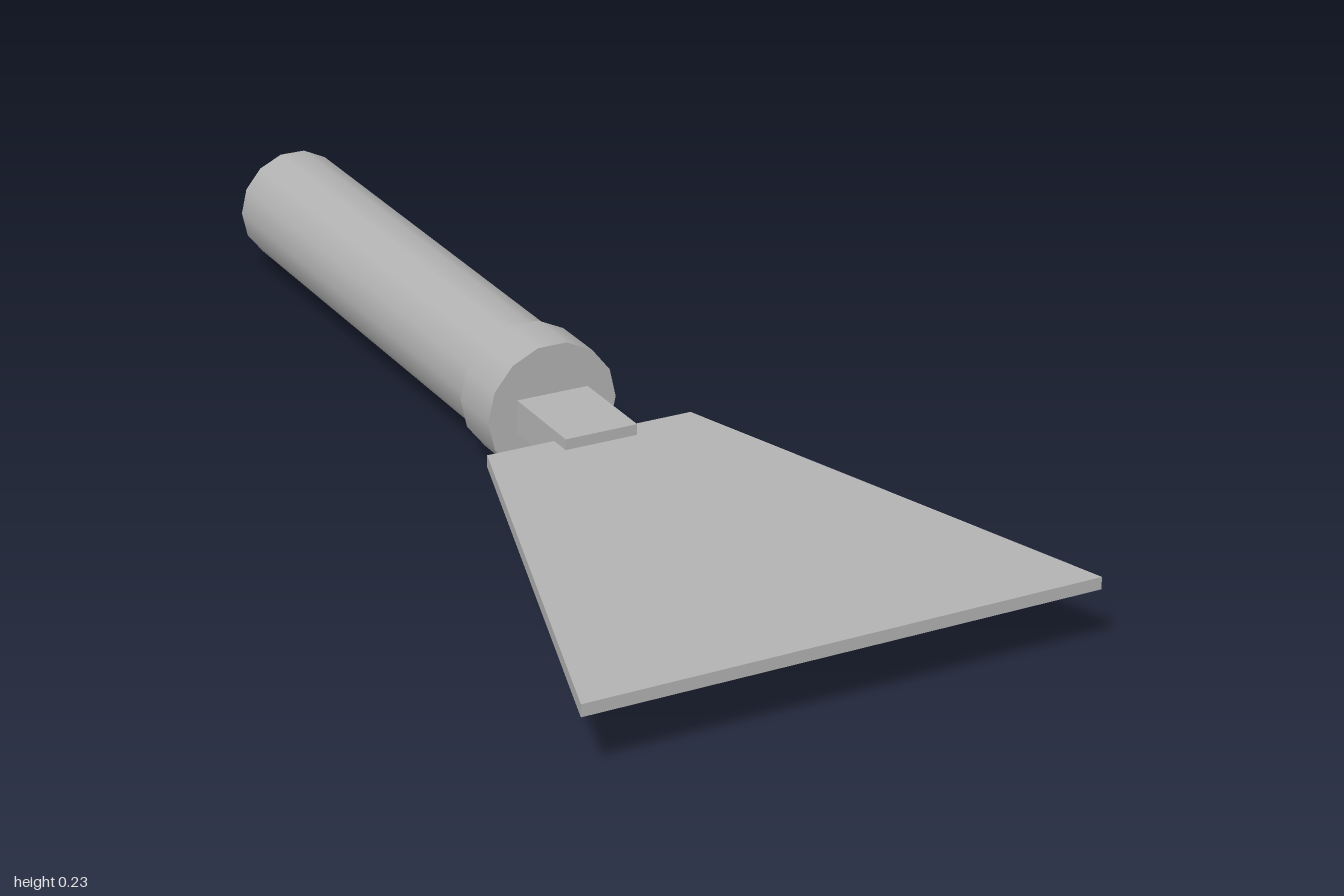
import * as THREE from 'three';

const AXIS_Y = 0.1155; // height of the tool's centre line
const SIDES = 14;

export function createModel() {
  const group = new THREE.Group();
  const grey = new THREE.MeshStandardMaterial({ color: 0xb2b2b2 });
  grey.name = 'grey';

  const add = (name, geometry, z) => {
    const mesh = new THREE.Mesh(geometry, grey);
    mesh.name = name;
    mesh.position.set(0, AXIS_Y, z);
    group.add(mesh);
  };

  // Round bar lying along z, with corners on the x axis
  const bar = (name, radius, z0, z1) => {
    const geometry = new THREE.CylinderGeometry(radius, radius, z1 - z0, SIDES, 1, false, Math.PI / 2);
    add(name, geometry.rotateX(Math.PI / 2), (z0 + z1) / 2);
  };

  bar('handle', 0.105, -1, -0.04);
  bar('collar', 0.1185, -0.052, 0.052);

  // Flat tang joining collar and blade
  add('tang', new THREE.BoxGeometry(0.131, 0.059, 0.185), 0.1325);

  // Thin blade, flaring towards the front edge
  const outline = new THREE.Shape([
    new THREE.Vector2(-0.187, 0.185),
    new THREE.Vector2(0.187, 0.185),
    new THREE.Vector2(0.444, 1),
    new THREE.Vector2(-0.444, 1),
  ]);
  const thickness = 0.021;
  const blade = new THREE.ExtrudeGeometry(outline, { depth: thickness, bevelEnabled: false });
  blade.rotateX(Math.PI / 2).translate(0, thickness / 2, 0);
  add('blade', blade, 0);

  return group;
}
